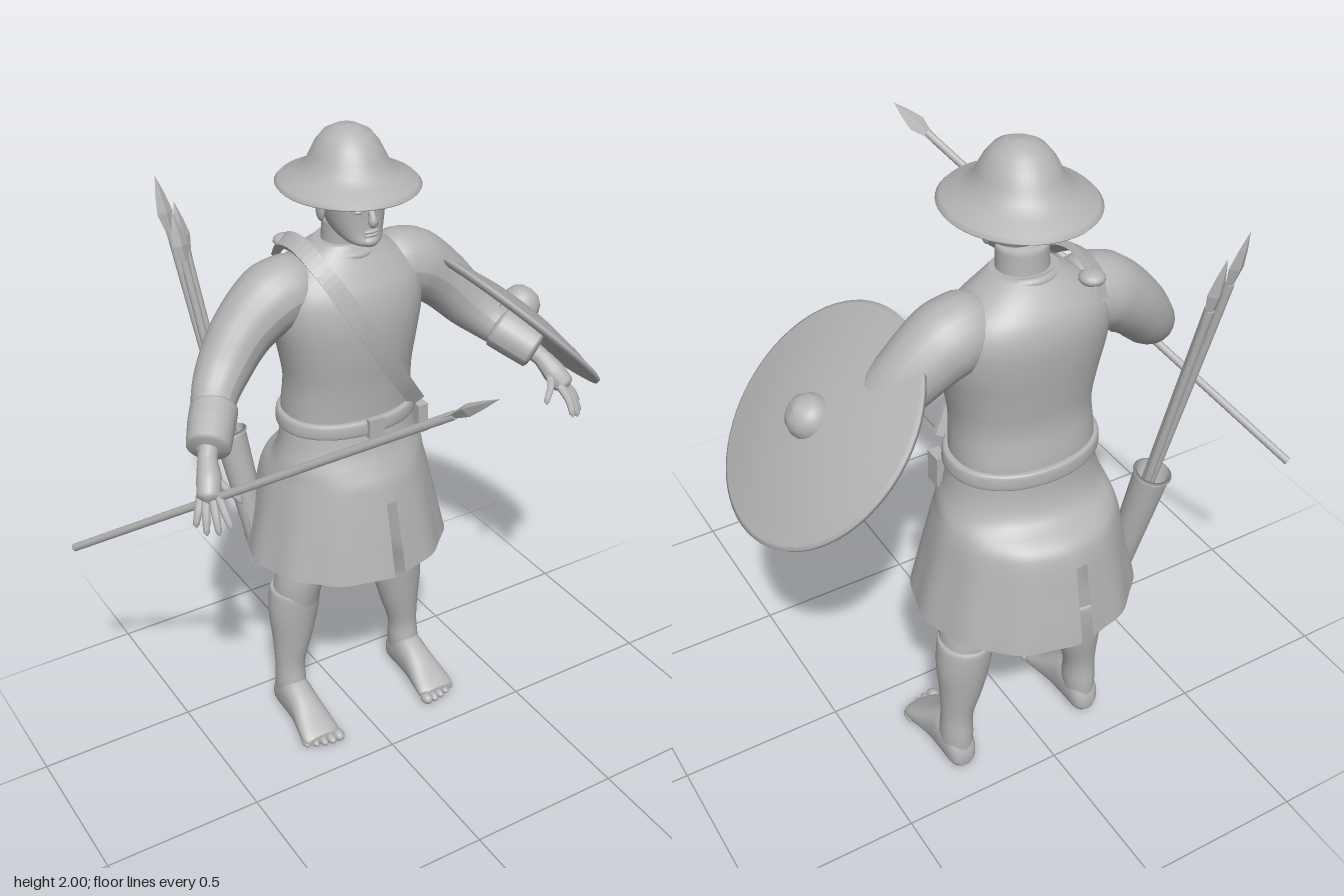
import * as THREE from 'three';

const grey = new THREE.MeshStandardMaterial({ color: 0xb4b4b4, side: THREE.DoubleSide });
grey.name = 'plain grey';
const MID = 0.035; // the body's centre line in x
const V = (a) => new THREE.Vector3(...a);

// smooth interpolation through rows of numbers
function smoothRows(rows) {
  const out = [], steps = 4;
  for (let i = 0; i < rows.length - 1; i++) {
    const [p, a, b, q] = [rows[Math.max(i - 1, 0)], rows[i], rows[i + 1], rows[Math.min(i + 2, rows.length - 1)]];
    for (let s = 0; s < steps; s++) {
      const t = s / steps;
      out.push(a.map((v, k) => {
        const cubic = 3 * (v - b[k]) + q[k] - p[k];
        const square = 2 * p[k] - 5 * v + 4 * b[k] - q[k];
        return v + 0.5 * t * (b[k] - p[k] + t * (square + t * cubic));
      }));
    }
  }
  out.push(rows[rows.length - 1]);
  return out;
}

// upright form from rows of [y, centre x, half width, front z, back z]
function loft(rows, { seg = 32, power = 1, cap = true, skip = () => false, ripple = () => 1 } = {}) {
  const rings = smoothRows(rows), pos = [], index = [];
  const bend = (v) => Math.sign(v) * Math.abs(v) ** power;
  for (const [y, cx, rx, zf, zb] of rings) {
    for (let j = 0; j < seg; j++) {
      const a = (j / seg) * Math.PI * 2, k = ripple(a, y);
      pos.push(cx + rx * k * bend(Math.sin(a)), y, (zf + zb) / 2 + ((zf - zb) / 2) * k * bend(Math.cos(a)));
    }
  }
  for (let i = 0; i < rings.length - 1; i++) {
    for (let j = 0; j < seg; j++) {
      if (skip(rings[i + 1][0], j)) continue;
      const a = i * seg + j, b = i * seg + ((j + 1) % seg);
      index.push(a, b, b + seg, a, b + seg, a + seg);
    }
  }
  if (cap) {
    const n = pos.length / 3, top = (rings.length - 1) * seg;
    for (const [y, cx, , zf, zb] of [rings[0], rings[rings.length - 1]]) pos.push(cx, y, (zf + zb) / 2);
    for (let j = 0; j < seg; j++) {
      const k = (j + 1) % seg;
      index.push(n, k, j, n + 1, top + j, top + k);
    }
  }
  return finish(pos, index);
}

function finish(pos, index) {
  const g = new THREE.BufferGeometry();
  g.setAttribute('position', new THREE.Float32BufferAttribute(pos, 3));
  g.setIndex(index);
  g.computeVertexNormals();
  return g;
}

// tube along points of [x, y, z, radius]
function limb(points, seg = 20, n = 32) {
  const curve = new THREE.CatmullRomCurve3(points.map((p) => V(p.slice(0, 3))));
  const g = new THREE.TubeGeometry(curve, n, 1, seg), at = g.attributes.position, v = new THREE.Vector3();
  for (let i = 0; i <= n; i++) {
    const t = curve.getUtoTmapping(i / n) * (points.length - 1), k = Math.min(Math.floor(t), points.length - 2);
    const r = THREE.MathUtils.lerp(points[k][3], points[k + 1][3], t - k), c = curve.getPointAt(i / n);
    for (let j = 0; j <= seg; j++) {
      const id = i * (seg + 1) + j;
      v.fromBufferAttribute(at, id).sub(c).multiplyScalar(r).add(c);
      at.setXYZ(id, v.x, v.y, v.z);
    }
  }
  g.computeVertexNormals();
  return g;
}

// flat band lying on the body along a curve
function band(points, width, thick) {
  const curve = new THREE.CatmullRomCurve3(points.map(V)), pos = [], index = [], n = 40;
  for (let i = 0; i <= n; i++) {
    const p = curve.getPointAt(i / n), t = curve.getTangentAt(i / n);
    const out = p.clone().sub(new THREE.Vector3(MID, 1.45, -0.32));
    out.addScaledVector(t, -out.dot(t)).normalize();
    const side = t.clone().cross(out);
    for (const [w, h] of [[-1, -1], [1, -1], [1, 1], [-1, 1]]) {
      const corner = p.clone().addScaledVector(side, (w * width) / 2).addScaledVector(out, (h * thick) / 2);
      pos.push(corner.x, corner.y, corner.z);
    }
    for (let j = 0; i < n && j < 4; j++) {
      const a = i * 4 + j, b = i * 4 + ((j + 1) % 4);
      index.push(a, b + 4, b, a, a + 4, b + 4);
    }
  }
  const g = finish(pos, index).toNonIndexed();
  g.computeVertexNormals();
  return g;
}

// copy reflected across the body's centre line
function mirrored(geo) {
  const g = geo.clone().scale(-1, 1, 1).translate(2 * MID, 0, 0);
  g.index.array.reverse();
  g.computeVertexNormals();
  return g;
}

function ball(x, y, z, sx, sy, sz) {
  return new THREE.SphereGeometry(1, 16, 12).scale(sx, sy, sz).translate(x, y, z);
}

export function createModel() {
  const model = new THREE.Group();
  const add = (name, geo, parent = model) => {
    const m = new THREE.Mesh(geo, grey);
    m.name = name;
    parent.add(m);
    return m;
  };
  const pair = (name, geo) => {
    add('right' + name, geo);
    add('left' + name, mirrored(geo));
  };
  const lathe = (pts, seg) => new THREE.LatheGeometry(pts.map((p) => new THREE.Vector2(...p)), seg);

  // wide-brimmed helmet
  add('helmet', lathe([[0, 1.87], [0.11, 1.862], [0.196, 1.832], [0.2, 1.837], [0.19, 1.848], [0.15, 1.868], [0.118, 1.89],
    [0.103, 1.92], [0.088, 1.95], [0.066, 1.978], [0.035, 1.995], [0, 2]], 48).scale(1, 1, 1.1).translate(MID, 0, -0.288));

  // head and face
  add('head', loft([[1.685, MID, 0.025, -0.175, -0.24], [1.697, MID, 0.05, -0.16, -0.28], [1.725, MID, 0.07, -0.166, -0.335],
    [1.77, MID, 0.083, -0.168, -0.362], [1.82, MID, 0.09, -0.168, -0.374], [1.88, MID, 0.085, -0.18, -0.37]], { power: 0.9 }));
  add('neck', loft([[1.58, MID, 0.095, -0.235, -0.4], [1.64, MID, 0.074, -0.245, -0.378], [1.74, MID, 0.07, -0.24, -0.37]]));
  add('collar', new THREE.TorusGeometry(0.08, 0.014, 10, 32).rotateX(Math.PI / 2 + 0.15).translate(MID, 1.648, -0.312));
  add('nose', limb([[MID, 1.81, -0.175, 0.008], [MID, 1.78, -0.16, 0.011], [MID, 1.757, -0.155, 0.015], [MID, 1.75, -0.165, 0.004]], 10, 10));
  add('upperLip', ball(MID, 1.732, -0.166, 0.026, 0.006, 0.01));
  add('lowerLip', ball(MID, 1.722, -0.166, 0.022, 0.006, 0.01));
  add('chin', ball(MID, 1.702, -0.17, 0.026, 0.016, 0.016));
  pair('Eye', ball(MID - 0.033, 1.79, -0.178, 0.014, 0.007, 0.01));
  pair('Brow', ball(MID - 0.035, 1.807, -0.176, 0.028, 0.008, 0.012));
  pair('Ear', ball(MID - 0.092, 1.775, -0.285, 0.01, 0.034, 0.02));

  // tunic
  add('tunic', loft([[1.04, MID, 0.205, -0.17, -0.47], [1.14, MID, 0.205, -0.17, -0.475], [1.25, MID, 0.2, -0.163, -0.46],
    [1.35, MID, 0.215, -0.152, -0.468], [1.45, MID, 0.235, -0.15, -0.48], [1.53, MID, 0.235, -0.165, -0.482],
    [1.59, MID, 0.2, -0.195, -0.465], [1.64, MID, 0.135, -0.225, -0.425], [1.67, MID, 0.085, -0.24, -0.39]], { seg: 40, power: 0.9 }));
  pair('Sleeve', limb([[-0.06, 1.54, -0.325, 0.06], [-0.13, 1.545, -0.325, 0.1], [-0.2, 1.527, -0.325, 0.105], [-0.3, 1.453, -0.317, 0.09],
    [-0.38, 1.365, -0.29, 0.078], [-0.43, 1.315, -0.25, 0.067], [-0.47, 1.275, -0.19, 0.055], [-0.5, 1.25, -0.145, 0.04]]));
  pair('Cuff', limb([[-0.447, 1.297, -0.222, 0.04], [-0.45, 1.294, -0.216, 0.068], [-0.48, 1.27, -0.175, 0.067],
    [-0.518, 1.238, -0.12, 0.062], [-0.522, 1.235, -0.115, 0.03]]));

  // hands
  pair('Palm', limb([[-0.5, 1.25, -0.145, 0.03], [-0.532, 1.215, -0.1, 0.028], [-0.55, 1.18, -0.06, 0.036],
    [-0.568, 1.145, -0.03, 0.034], [-0.575, 1.13, -0.02, 0.004]], 14));
  const fingers = [[-0.545, 1.15, -0.015, -0.545, 1.075, 0.055], [-0.56, 1.14, -0.02, -0.575, 1.06, 0.04],
    [-0.575, 1.135, -0.035, -0.6, 1.055, 0.015], [-0.58, 1.14, -0.055, -0.616, 1.07, -0.015], [-0.535, 1.185, -0.06, -0.485, 1.11, 0]];
  for (const [a, b, c, d, e, f] of fingers) {
    const knuckle = [(a + d) / 2 - 0.004, (b + e) / 2 + 0.006, (c + f) / 2 + 0.006, 0.012];
    pair('Finger', limb([[a, b, c, 0.014], knuckle, [d, e + 0.008, f - 0.003, 0.009], [d, e, f, 0.001]], 8, 10));
  }

  // kilt with a slit front and back
  add('kilt', loft([[0.64, MID, 0.326, -0.038, -0.655], [0.7, MID, 0.312, -0.05, -0.645], [0.8, MID, 0.288, -0.07, -0.625],
    [0.9, MID, 0.265, -0.093, -0.604], [0.945, MID, 0.252, -0.105, -0.58], [0.985, MID, 0.24, -0.125, -0.515],
    [1.04, MID, 0.222, -0.15, -0.488], [1.11, MID, 0.21, -0.165, -0.48]], {
    seg: 96,
    cap: false,
    skip: (y, j) => y < 0.89 && [0, 1, 48, 49].includes(j),
    ripple: (a, y) => 1 + 0.03 * Math.max(0, 1.05 - y) * (Math.cos(a * 12) - 1),
  }));

  // belt, buckle, pouch and shoulder strap
  add('belt', loft([[1.095, MID, 0.21, -0.165, -0.48], [1.1, MID, 0.223, -0.152, -0.49], [1.137, MID, 0.22, -0.152, -0.49],
    [1.143, MID, 0.205, -0.165, -0.48]], { seg: 48, power: 0.95 }));
  add('buckle', new THREE.BoxGeometry(0.052, 0.062, 0.02).translate(MID, 1.12, -0.148));
  add('pouch', new THREE.BoxGeometry(0.035, 0.095, 0.05).translate(0.243, 1.055, -0.235));
  add('strap', band([[-0.1, 1.6, -0.46], [-0.115, 1.655, -0.4], [-0.115, 1.672, -0.31], [-0.095, 1.625, -0.215], [-0.03, 1.5, -0.15],
    [0.05, 1.37, -0.142], [0.14, 1.235, -0.168], [0.215, 1.13, -0.21]], 0.052, 0.018));
  add('strapKnot', ball(-0.1, 1.645, -0.42, 0.035, 0.02, 0.035));

  // legs, stockings and bare feet
  pair('Leg', loft([[0.44, -0.157, 0.074, -0.268, -0.42], [0.52, -0.145, 0.076, -0.25, -0.422], [0.6, -0.123, 0.078, -0.235, -0.42],
    [0.75, -0.105, 0.09, -0.22, -0.43], [0.95, -0.08, 0.1, -0.2, -0.45]]));
  pair('Stocking', loft([[0.06, -0.187, 0.044, -0.3, -0.402], [0.12, -0.186, 0.049, -0.285, -0.402], [0.2, -0.184, 0.049, -0.294, -0.397],
    [0.3, -0.171, 0.065, -0.282, -0.412], [0.4, -0.163, 0.081, -0.27, -0.425], [0.485, -0.155, 0.082, -0.262, -0.43], [0.497, -0.153, 0.074, -0.268, -0.42]]));
  pair('Foot', loft([[-0.408, -0.187, 0.02, -0.02, -0.06], [-0.385, -0.187, 0.043, -0.002, -0.115], [-0.32, -0.187, 0.05, 0, -0.15],
    [-0.25, -0.187, 0.052, 0, -0.125], [-0.18, -0.189, 0.062, 0, -0.08], [-0.135, -0.189, 0.064, 0, -0.052], [-0.12, -0.189, 0.05, -0.008, -0.04]],
  { power: 0.85 }).rotateX(Math.PI / 2));
  [0.019, 0.015, 0.014, 0.013, 0.012].forEach((r, i) => {
    pair('Toe', ball(-0.138 - i * 0.0265, r + 0.003, -0.114 - i * i * 0.002, r, r, 0.026));
  });

  // spears: round shaft with a flat leaf-shaped head
  function spear(name, from, to, headLength, headWidth) {
    const g = new THREE.Group(), a = V(from), d = V(to).sub(a), len = d.length(), r = 0.012;
    g.name = name;
    g.position.copy(a);
    g.quaternion.setFromUnitVectors(new THREE.Vector3(0, 1, 0), d.normalize());
    const shaft = len - headLength * 0.8;
    add('shaft', new THREE.CylinderGeometry(r, r, shaft, 10).translate(0, shaft / 2, 0), g);
    const head = lathe([[r, 0], [r * 1.2, 0.2], [headWidth, 0.45], [headWidth * 0.6, 0.72], [0, 1]], 4).scale(1, headLength, 0.6)
      .translate(0, len - headLength, 0).toNonIndexed();
    head.computeVertexNormals();
    add('spearHead', head, g);
    model.add(g);
  }
  spear('spear', [-0.815, 0.807, -0.475], [-0.135, 1.66, 0.685], 0.17, 0.028);
  spear('javelin', [-0.236, 0.65, -0.44], [-0.378, 1.815, -0.665], 0.2, 0.024);
  spear('javelin', [-0.215, 0.65, -0.455], [-0.335, 1.735, -0.645], 0.19, 0.024);
  spear('javelin', [-0.245, 0.65, -0.42], [-0.355, 1.72, -0.62], 0.19, 0.024);

  // quiver on the back
  const quiver = add('quiver', lathe([[0, 0], [0.032, 0], [0.037, 0.02], [0.05, 0.45], [0.055, 0.46], [0.046, 0.465], [0.04, 0.4], [0, 0.38]], 24));
  quiver.position.set(-0.215, 0.57, -0.43);
  quiver.quaternion.setFromUnitVectors(new THREE.Vector3(0, 1, 0), V([-0.055, 0.45, -0.085]).normalize());

  // domed shield on the left forearm
  const shield = new THREE.Group();
  shield.name = 'shield';
  add('shieldBoard', lathe([[0, 0.022], [0.2, 0.008], [0.31, -0.02], [0.335, -0.016], [0.337, -0.004], [0.325, 0.002], [0.308, 0.002],
    [0.25, 0.018], [0.13, 0.037], [0, 0.044]], 64), shield);
  add('shieldBoss', lathe([[0.062, 0.03], [0.06, 0.052], [0.05, 0.074], [0.03, 0.09], [0, 0.096]], 32), shield);
  add('shieldGrip', new THREE.TorusGeometry(0.075, 0.008, 8, 24, Math.PI).rotateX(Math.PI).translate(0, 0.01, 0), shield);
  shield.position.set(0.572, 1.322, -0.217);
  shield.rotation.z = -Math.PI / 4;
  model.add(shield);
  return model;
}
